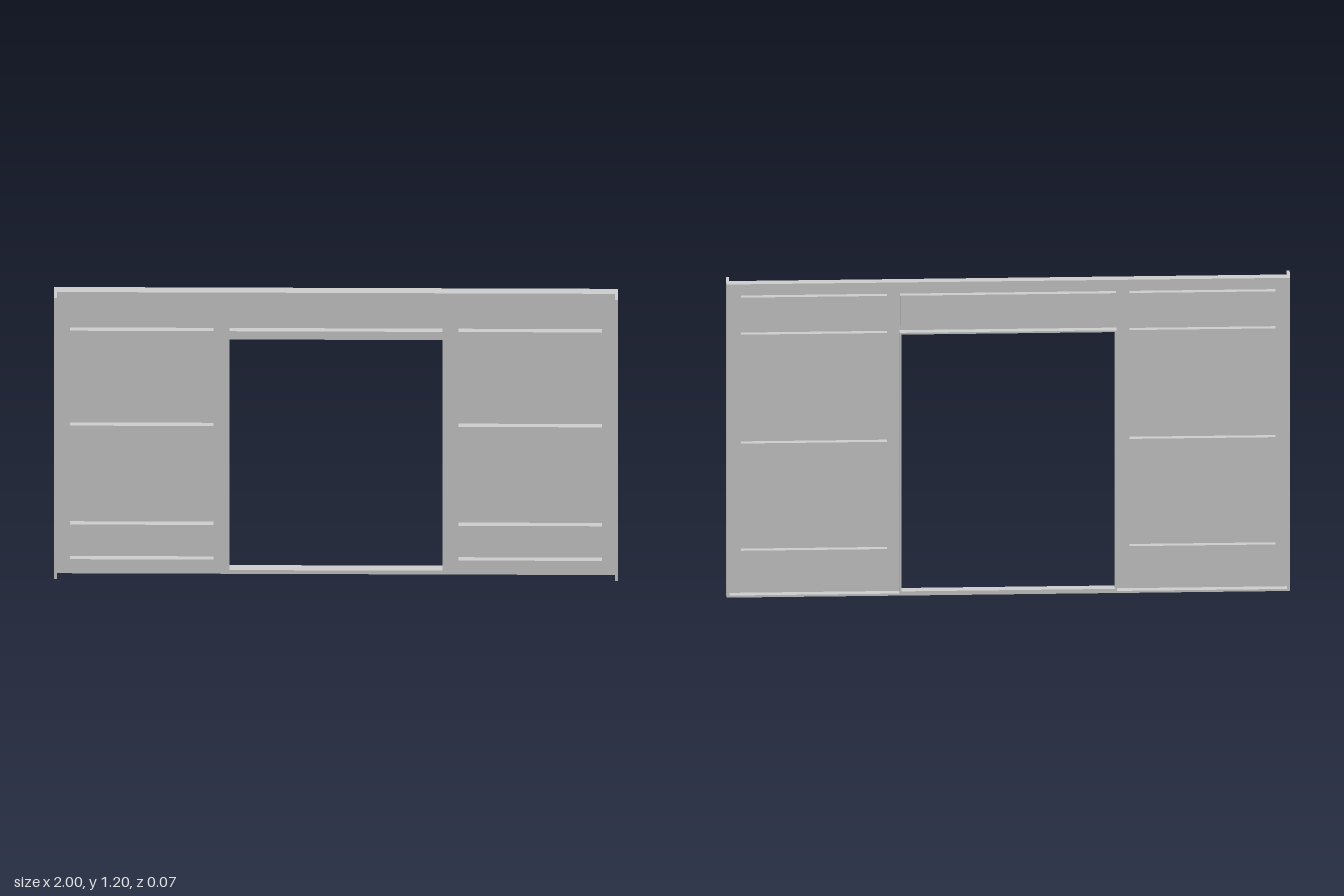
import * as THREE from 'three';

const material = new THREE.MeshStandardMaterial({ color: 0xcccccc });
const FRONT = -0.003, BACK = -0.035, SHEET = 0.007, FLOOR = -0.024, FLANGE = 0.035;

// Box given by its limits on each axis
function box(parent, name, x0, x1, y0, y1, z0, z1) {
  const mesh = new THREE.Mesh(new THREE.BoxGeometry(x1 - x0, y1 - y0, z1 - z0), material);
  mesh.position.set((x0 + x1) / 2, (y0 + y1) / 2, (z0 + z1) / 2);
  mesh.name = name;
  parent.add(mesh);
}

// Pressed panel: open to the front, standing out at the back
function tray(parent, name, x0, x1, y0, y1) {
  const group = new THREE.Group();
  const t = 0.005, zb = FLOOR - 0.006, zf = FRONT - SHEET;
  group.name = name;
  box(group, 'panelFloor', x0 - t, x1 + t, y0 - t, y1 + t, zb, FLOOR);
  box(group, 'panelWall', x0 - t, x0, y0 - t, y1 + t, FLOOR, zf);
  box(group, 'panelWall', x1, x1 + t, y0 - t, y1 + t, FLOOR, zf);
  box(group, 'panelWall', x0, x1, y0 - t, y0, FLOOR, zf);
  box(group, 'panelWall', x0, x1, y1, y1 + t, FLOOR, zf);
  parent.add(group);
}

export function createModel() {
  const model = new THREE.Group();
  model.name = 'wallFrame';

  // Openings in the front sheet: [x0, x1, y0, y1]
  const doorway = [-0.378, 0.378, 0.016, 1.0];
  const trays = [['lintelPanel', -0.378, 0.378, 1.035, 1.142]];
  for (const s of [-1, 1]) {
    const x0 = s < 0 ? -0.943 : 0.435, x1 = s < 0 ? -0.435 : 0.943;
    const side = s < 0 ? 'right' : 'left';
    [['Top', 1.035, 1.142], ['Upper', 0.63, 1.0], ['Lower', 0.208, 0.583], ['Bottom', 0.06, 0.172]]
      .forEach(([n, y0, y1]) => trays.push([side + n + 'Panel', x0, x1, y0, y1]));
  }

  // Front sheet with all openings cut out
  const outline = new THREE.Shape([[-1, 0], [1, 0], [1, 1.2], [-1, 1.2]].map(p => new THREE.Vector2(...p)));
  for (const [x0, x1, y0, y1] of [doorway, ...trays.map(t => t.slice(1))]) {
    outline.holes.push(new THREE.Path([[x0, y0], [x0, y1], [x1, y1], [x1, y0]].map(p => new THREE.Vector2(...p))));
  }
  const sheet = new THREE.Mesh(new THREE.ExtrudeGeometry(outline, { depth: SHEET, bevelEnabled: false }), material);
  sheet.position.z = FRONT - SHEET;
  sheet.name = 'frontSheet';
  model.add(sheet);

  for (const t of trays) tray(model, ...t);

  // Turned edges around the outside
  box(model, 'topEdge', -1, 1, 1.192, 1.2, BACK, FRONT - SHEET);
  box(model, 'bottomEdge', -1, 1, 0, 0.008, BACK, FRONT - SHEET);
  for (const s of [-1, 1]) {
    const side = s < 0 ? 'right' : 'left';
    const span = (a, b) => (s < 0 ? [-b, -a] : [a, b]);
    box(model, side + 'EndFlange', ...span(0.989, 1), 0, 1.2, BACK, FLANGE);
    // Returns along the doorway jambs
    box(model, side + 'Jamb', ...span(0.378, 0.385), 0.008, 1.0, BACK, FRONT - SHEET);
  }
  // Returns along the doorway head and sill
  box(model, 'doorwayHead', -0.385, 0.385, 1.0, 1.007, BACK, FRONT - SHEET);
  box(model, 'doorwaySill', -0.378, 0.378, 0.008, 0.016, BACK, FRONT - SHEET);
  return model;
}
